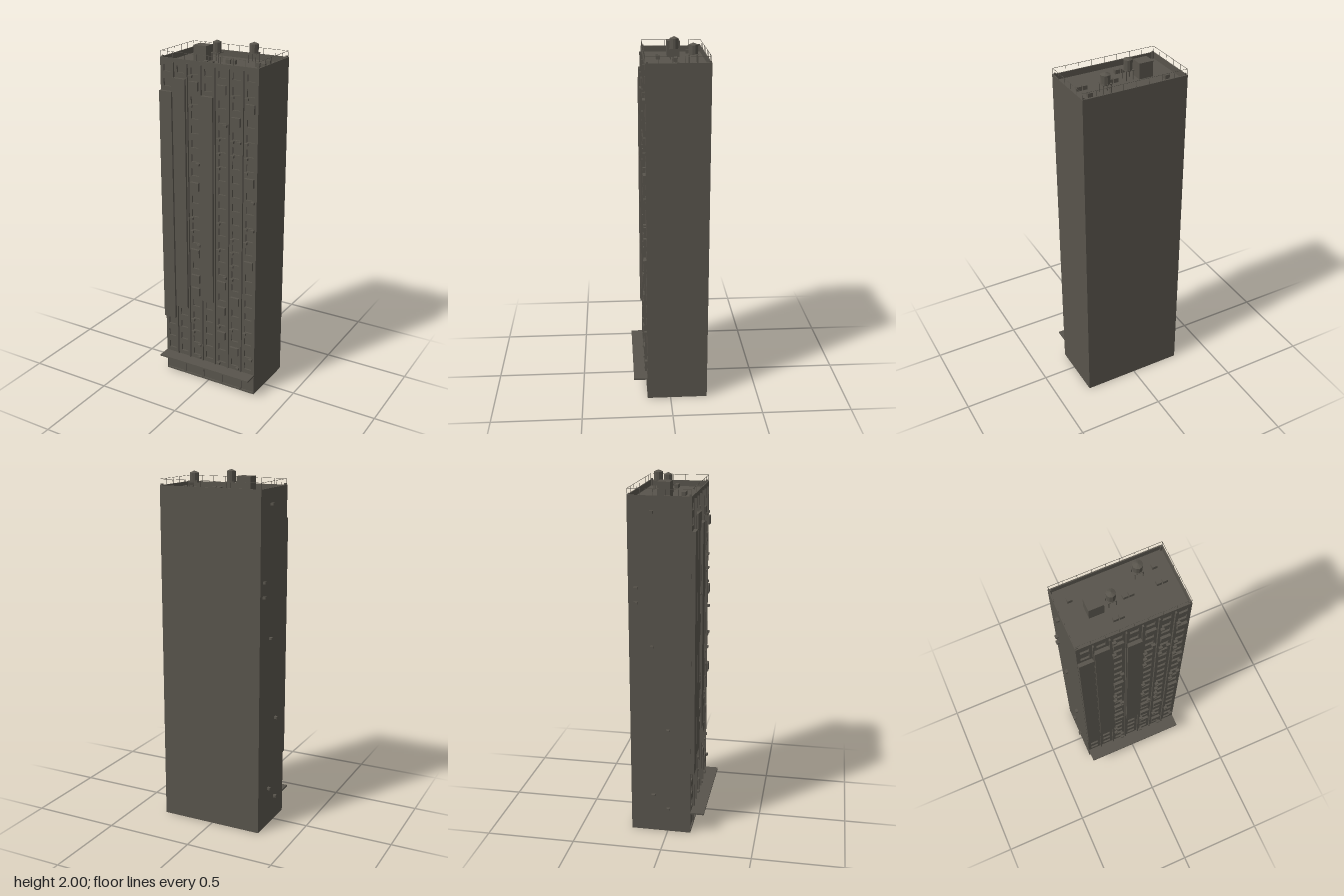
import * as THREE from 'three';
import { mergeGeometries } from 'three/addons/utils/BufferGeometryUtils.js';

const stone = new THREE.MeshStandardMaterial({ color: 0x58544c, side: THREE.DoubleSide, flatShading: true });
stone.name = 'weatheredStone';

// Main dimensions
const X0 = -0.291, X1 = 0.306, Z0 = -0.208, Z1 = 0.131;
const ROOF = 1.88, TOP = 1.913, MX = (X0 + X1) / 2, MZ = (Z0 + Z1) / 2;
const W = X1 - X0, D = Z1 - Z0;
const BAYS = 7, FLOORS = 22, PITCH = 0.0803;
const bayX = i => X0 + (i + 0.5) * W / BAYS;
const floorY = j => 0.174 + j * PITCH;

function box(w, h, d, x, y, z) {
  return new THREE.BoxGeometry(w, h, d).translate(x, y, z);
}
// Box given by its lower and upper limits
function span(x0, x1, y0, y1, z0, z1) {
  return box(x1 - x0, y1 - y0, z1 - z0, (x0 + x1) / 2, (y0 + y1) / 2, (z0 + z1) / 2);
}
// Keep only some faces of a box (0 +x, 1 -x, 2 +y, 3 -y, 4 +z, 5 -z)
function keepFaces(geo, faces) {
  const idx = Array.from(geo.index.array);
  geo.setIndex(faces.flatMap(f => idx.slice(f * 6, f * 6 + 6)));
  geo.clearGroups();
  return geo;
}
function rectPath(Type, x0, x1, y0, y1) {
  const p = new Type();
  p.moveTo(x0, y0);
  p.lineTo(x1, y0);
  p.lineTo(x1, y1);
  p.lineTo(x0, y1);
  p.closePath();
  return p;
}

export function createModel() {
  const model = new THREE.Group();
  model.name = 'towerBlock';
  const add = (name, geos, parent = model) => {
    const mesh = new THREE.Mesh(Array.isArray(geos) ? mergeGeometries(geos) : geos, stone);
    mesh.name = name;
    parent.add(mesh);
    return mesh;
  };

  // Side and back walls, open underneath, and the sunken roof
  add('sideAndBackWalls', keepFaces(span(X0, X1, 0, ROOF, Z0, Z1), [0, 1, 5]));
  add('roofDeck', new THREE.PlaneGeometry(W, D).rotateX(-Math.PI / 2).translate(MX, ROOF, MZ));

  // Front wall pierced by windows and shop fronts, each with a shallow recess
  const wall = rectPath(THREE.Shape, X0, X1, 0, ROOF);
  const recesses = [], shops = [];
  const pierce = (list, x0, x1, y0, y1, depth) => {
    wall.holes.push(rectPath(THREE.Path, x0, x1, y0, y1));
    list.push(keepFaces(span(x0, x1, y0, y1, Z1 - depth, Z1), [0, 1, 2, 3, 5]));
  };
  for (let i = 0; i < BAYS; i++) {
    for (let j = 0; j < FLOORS; j++) {
      const x = bayX(i), y = floorY(j);
      pierce(recesses, x - 0.023, x + 0.023, y - 0.021, Math.min(y + 0.021, ROOF - 0.004), 0.01);
    }
  }
  for (let i = 0; i < 5; i++) {
    const x = -0.287 + i * 0.127;
    pierce(shops, x, Math.min(x + 0.115, 0.3), 0.01, 0.094, 0.008);
  }
  add('frontWall', new THREE.ShapeGeometry(wall).translate(0, 0, Z1));
  add('windowRecesses', recesses);
  add('shopFronts', shops);

  // Entrance canopy
  add('canopy', span(X0, X1, 0.119, 0.128, Z1, 0.207));

  // Vertical pipes between bays
  const pipes = [];
  for (let i = 1; i < BAYS; i++) {
    pipes.push(box(0.007, 1.764, 0.011, X0 + i * W / BAYS, 1.011, Z1 + 0.0055));
  }
  add('drainPipes', pipes);

  // Tall cladding panels
  add('claddingPanels', [
    [-0.29, -0.213, 0.37, 1.735], [-0.205, -0.127, 0.455, 1.812], [-0.033, 0.044, 0.535, 1.735],
  ].map(([a, b, c, d]) => span(a, b, c, d, Z1, 0.151)));

  // Enclosed balconies: floors used in each bay
  const balconies = { 2: [20, 13, 8, 6, 5], 4: [20, 6, 4, 2], 5: [18, 5, 1], 6: [19, 14, 8] };
  add('balconyBoxes', Object.entries(balconies).flatMap(([bay, floors]) =>
    floors.map(j => box(0.054, 0.048, 0.015, bayX(+bay), floorY(j), Z1 + 0.0075))));

  // Air conditioners: [floors on the near side, floors on the far side] per bay
  const coolers = {
    2: [[20 + 1, 19, 11, 10, 3, 2], [15, 9, 1, 0]],
    4: [[17, 16, 15, 11, 9, 3, 0], [18, 7]],
    5: [[20, 17, 16, 10, 9, 8, 7, 3], [17, 0]],
    6: [[20, 17, 16, 15, 11, 10, 3], [13, 11, 1]],
  };
  const units = [];
  for (const [bay, sides] of Object.entries(coolers)) {
    sides.forEach((floors, s) => floors.forEach(j =>
      units.push(box(0.02, 0.013, 0.014, bayX(+bay) + (s ? 0.021 : -0.021), floorY(j) - 0.031, Z1 + 0.007))));
  }
  add('frontAirConditioners', units);
  add('sideAirConditioners', [
    [21, -0.081], [16, -0.167], [15, -0.167], [12, -0.081], [6, 0.004], [1, -0.081], [0, 0.004],
  ].map(([j, z]) => box(0.016, 0.013, 0.02, X0 - 0.008, floorY(j) - 0.031, z)));

  // Parapet around the roof
  const ring = rectPath(THREE.Shape, X0, X1, -Z1, -Z0);
  ring.holes.push(rectPath(THREE.Path, X0 + 0.006, X1 - 0.006, -Z1 + 0.006, -Z0 - 0.006));
  add('parapet', new THREE.ExtrudeGeometry(ring, { depth: TOP - ROOF, bevelEnabled: false })
    .rotateX(-Math.PI / 2).translate(0, ROOF, 0));

  // Thin guard rail with corner blocks
  const rail = [], t = 0.0016, a = X0 + 0.003, b = X1 - 0.003, c = Z0 + 0.003, d = Z1 - 0.003;
  for (const z of [c, d]) {
    rail.push(box(b - a, t, t, MX, 1.946, z));
    for (let i = 0; i <= 8; i++) rail.push(box(t, 0.034, t, a + (b - a) * i / 8, 1.93, z));
  }
  for (const x of [a, b]) {
    rail.push(box(t, t, d - c, x, 1.946, MZ));
    for (let i = 1; i < 5; i++) rail.push(box(t, 0.034, t, x, 1.93, c + (d - c) * i / 5));
  }
  add('guardRail', rail);
  const corners = [];
  for (const x of [X0 + 0.01, X1 - 0.01]) {
    for (const z of [Z0 + 0.01, Z1 - 0.01]) corners.push(box(0.01, 0.042, 0.01, x, 1.9, z));
  }
  add('cornerBlocks', corners);

  // Stair house and rooftop units
  add('stairHouse', span(-0.166, -0.086, ROOF, 1.966, -0.074, -0.005));
  add('rooftopUnits', [
    [-0.215, -0.127], [0.226, -0.127], [0.034, -0.039], [0.066, -0.039],
    [0.21, -0.039], [0.242, -0.039], [-0.054, 0.049], [-0.022, 0.049],
  ].map(([x, z]) => box(0.026, 0.022, 0.021, x, ROOF + 0.011, z)));

  // Water tanks on legs
  for (const [x, z, r, top] of [[-0.038, -0.039, 0.0245, 2.0], [0.138, -0.127, 0.0265, 1.991]]) {
    const tank = new THREE.Group();
    tank.name = 'waterTank';
    tank.position.set(x, 0, z);
    model.add(tank);
    const base = 1.934, eave = top - 0.011;
    add('barrel', new THREE.CylinderGeometry(r * 0.95, r * 0.95, eave - base, 10).translate(0, (base + eave) / 2, 0), tank);
    add('coneRoof', new THREE.ConeGeometry(r, 0.011, 10).translate(0, eave + 0.0055, 0), tank);
    add('platform', box(r * 1.95, 0.004, r * 1.95, 0, base - 0.002, 0), tank);
    const legs = [];
    for (const sx of [-1, 1]) {
      for (const sz of [-1, 1]) legs.push(box(0.004, base - ROOF, 0.004, sx * r * 0.8, (base + ROOF) / 2, sz * r * 0.8));
    }
    add('legs', legs, tank);
  }
  return model;
}
